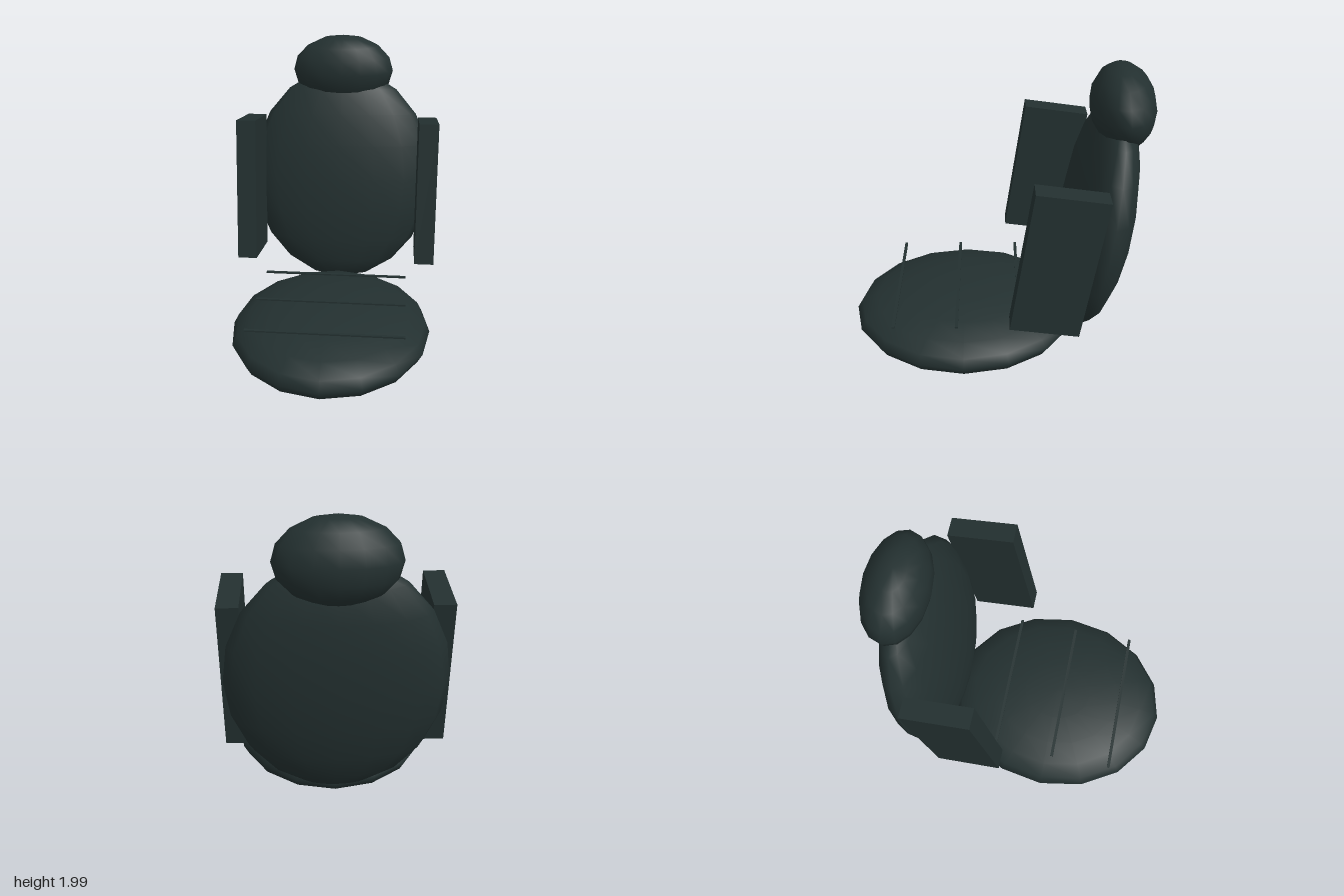
import * as THREE from 'three';

export function createModel() {
  const model = new THREE.Group();
  model.name = 'carSeat';

  const upholstery = new THREE.MeshStandardMaterial({ color: 0x233030 });
  upholstery.name = 'dark upholstery';

  const RECLINE = THREE.MathUtils.degToRad(-8);

  function add(name, geometry, position, tilt = 0) {
    const mesh = new THREE.Mesh(geometry, upholstery);
    mesh.name = name;
    mesh.position.set(...position);
    mesh.rotation.x = tilt;
    model.add(mesh);
  }

  // Smooth low-poly ellipsoid with the given radii
  const cushion = (rx, ry, rz, rows = 10) =>
    new THREE.SphereGeometry(1, 16, rows).scale(rx, ry, rz);

  // Padded cushions
  add('seatCushion', cushion(0.655, 0.2, 0.765), [0, 0.208, 0.21]);
  add('backrest', cushion(0.655, 0.78, 0.21), [0, 0.995, -0.655], RECLINE);
  add('headrest', cushion(0.355, 0.25, 0.2, 8), [0, 1.75, -0.77], THREE.MathUtils.degToRad(4));

  // Side bolsters, one per side, leaning with the backrest
  for (const [name, side] of [['leftBolster', 1], ['rightBolster', -1]]) {
    add(name, new THREE.BoxGeometry(0.13, 0.956, 0.432), [side * 0.61, 1.0, -0.36], RECLINE);
  }

  // Thin seams running across the seat
  for (const z of [-0.15, 0.257, 0.663]) {
    add('seatSeam', new THREE.BoxGeometry(0.98, 0.01, 0.02), [0, 0.42, z]);
  }

  return model;
}
